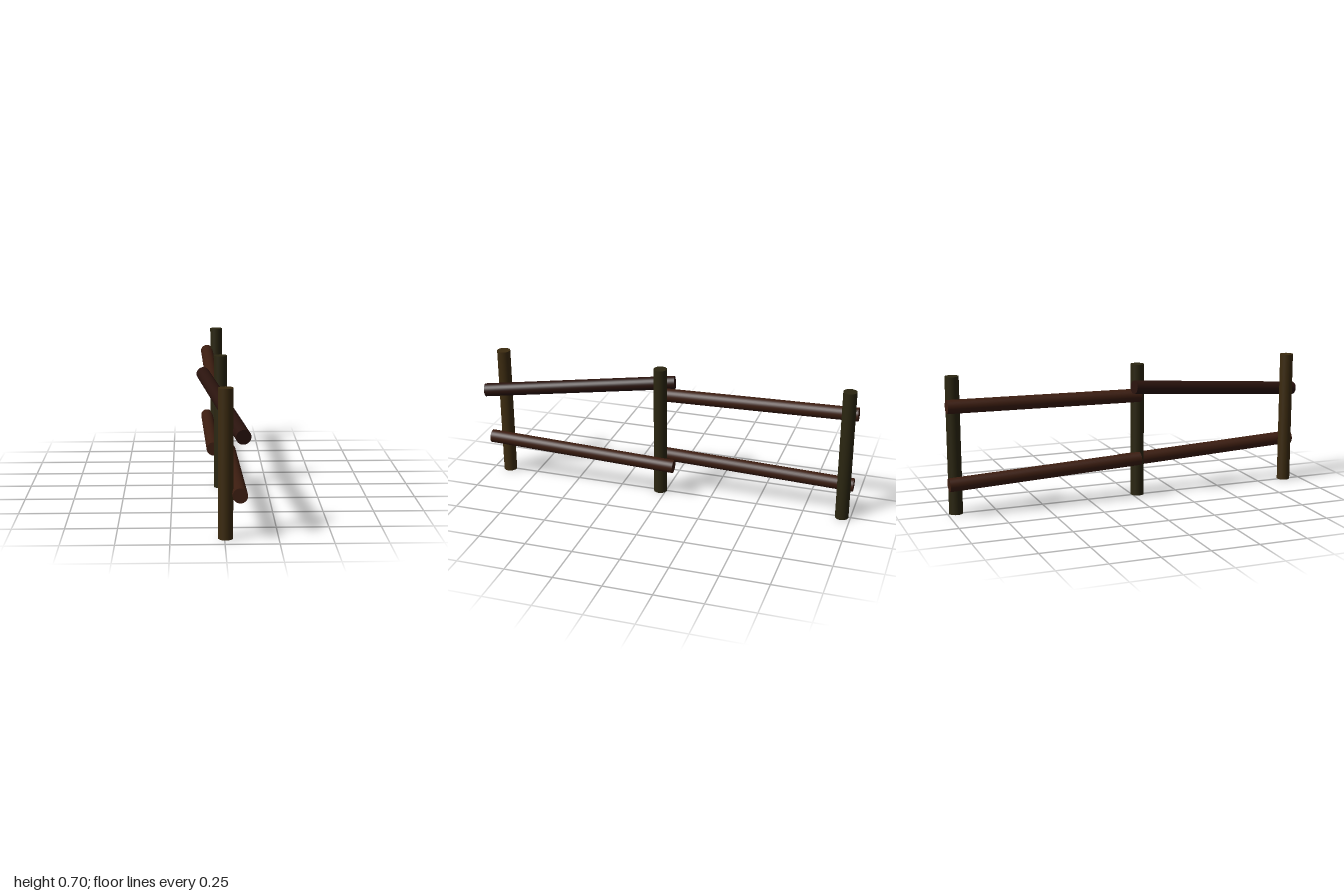
import * as THREE from 'three';

const RADIUS = 0.035;
const POST_HEIGHT = 0.705;

// Round log running between two points
function log(name, from, to, color) {
  const a = new THREE.Vector3(...from);
  const b = new THREE.Vector3(...to);
  const mesh = new THREE.Mesh(
    new THREE.CylinderGeometry(RADIUS, RADIUS, a.distanceTo(b), 32),
    new THREE.MeshStandardMaterial({ color })
  );
  mesh.name = name;
  mesh.position.copy(a).add(b).multiplyScalar(0.5);
  mesh.quaternion.setFromUnitVectors(new THREE.Vector3(0, 1, 0), b.sub(a).normalize());
  return mesh;
}

export function createModel() {
  const fence = new THREE.Group();
  fence.name = 'railFence';

  // Upright posts
  const posts = [
    ['frontPost', 0.91, 0x3c2b10],
    ['middlePost', 0.03, 0x2b2611],
    ['backPost', -0.955, 0x2b2611],
  ];
  for (const [name, z, color] of posts) {
    fence.add(log(name, [0.005, 0, z], [0.005, POST_HEIGHT, z], color));
  }

  // Crooked rails, two per bay
  const rails = [
    ['upperFrontRail', [-0.085, 0.6, -0.022], [0.083, 0.496, 0.992], 0x2a130d],
    ['lowerFrontRail', [0.053, 0.178, -0.058], [0.07, 0.22, 0.975], 0x3c1d10],
    ['upperBackRail', [-0.05, 0.563, -0.998], [-0.033, 0.545, 0.03], 0x3c1d10],
    ['lowerBackRail', [-0.05, 0.165, -0.998], [-0.033, 0.205, 0.03], 0x3c1d10],
  ];
  for (const rail of rails) fence.add(log(...rail));

  return fence;
}
